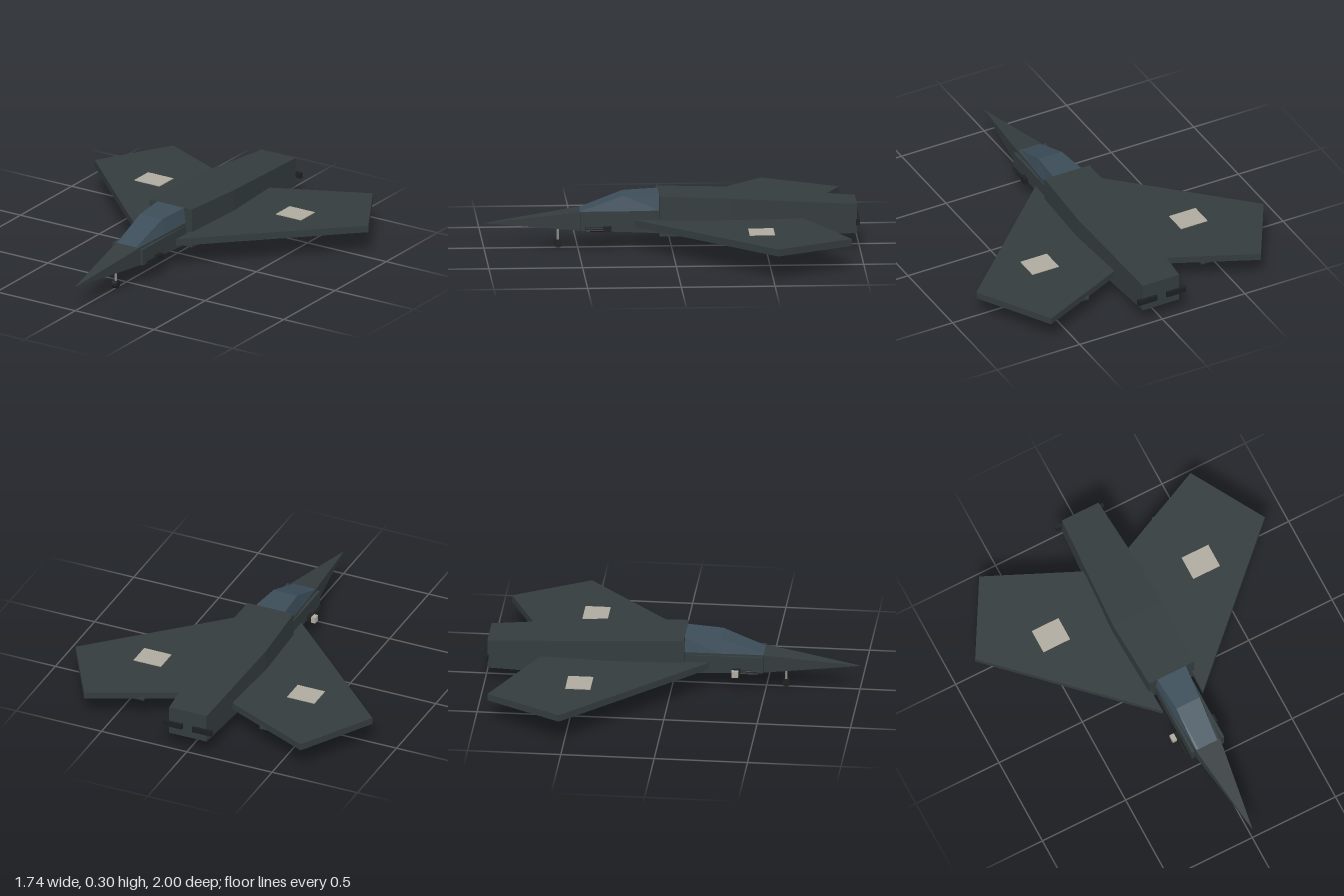
import * as THREE from 'three';

const mat = (color) => new THREE.MeshStandardMaterial({ color, flatShading: true });

// Loft through four-cornered sections: [z, bottomY, topY, bottomHalfWidth, topHalfWidth], front to back
function loft(sections) {
  const rings = sections.map(([z, y0, y1, w0, w1]) =>
    [[-w0, y0, z], [w0, y0, z], [w1, y1, z], [-w1, y1, z]]);
  const pos = [];
  const tri = (...pts) => pts.forEach((p) => pos.push(...p));
  for (let i = 0; i < rings.length - 1; i++) {
    const a = rings[i], b = rings[i + 1];
    for (let j = 0; j < 4; j++) {
      const k = (j + 1) % 4;
      tri(a[j], b[j], a[k]);
      tri(a[k], b[j], b[k]);
    }
  }
  const f = rings[0], r = rings[rings.length - 1];
  tri(f[0], f[1], f[2]); tri(f[0], f[2], f[3]);
  tri(r[0], r[2], r[1]); tri(r[0], r[3], r[2]);
  const g = new THREE.BufferGeometry();
  g.setAttribute('position', new THREE.Float32BufferAttribute(pos, 3));
  g.computeVertexNormals();
  return g;
}

export function createModel() {
  const model = new THREE.Group();
  model.name = 'jet';
  const hull = mat(0x343c3e), dark = mat(0x1d2022), glass = mat(0x3c4e5a);
  const pale = mat(0xb0aba0), metal = mat(0x8a8a88);

  const add = (name, geometry, material, x = 0, y = 0, z = 0) => {
    const m = new THREE.Mesh(geometry, material);
    m.name = name;
    m.position.set(x, y, z);
    model.add(m);
    return m;
  };
  // Box given by its limits on each axis
  const box = (name, material, x0, x1, y0, y1, z0, z1) =>
    add(name, new THREE.BoxGeometry(Math.abs(x1 - x0), y1 - y0, Math.abs(z1 - z0)), material,
      (x0 + x1) / 2, (y0 + y1) / 2, (z0 + z1) / 2);

  // Body
  add('nose', loft([[1, 0.135, 0.137, 0.001, 0.001], [0.49, 0.105, 0.205, 0.073, 0.073]]), hull);
  add('cockpitBody', loft([[0.49, 0.105, 0.205, 0.073, 0.073], [0.07, 0.092, 0.215, 0.095, 0.095]]), hull);
  add('canopy', loft([
    [0.49, 0.203, 0.206, 0.07, 0.055],
    [0.26, 0.21, 0.293, 0.085, 0.07],
    [0.07, 0.215, 0.3, 0.095, 0.085],
  ]), glass);
  add('fuselage', loft([
    [0.07, 0.083, 0.3, 0.135, 0.135],
    [-0.32, 0.075, 0.286, 0.15, 0.15],
    [-0.985, 0.083, 0.242, 0.11, 0.11],
  ]), hull);

  // Landing gear
  const wheel = new THREE.CylinderGeometry(0.022, 0.022, 0.03, 12).rotateZ(Math.PI / 2);
  const strut = new THREE.CylinderGeometry(0.007, 0.007, 0.07, 8);
  for (const [name, x, z, lift] of [['nose', 0, 0.605, 0.01], ['left', 0.2, -0.455, 0], ['right', -0.2, -0.455, 0]]) {
    add(name + 'Wheel', wheel, dark, x, 0.022, z);
    add(name + 'Strut', strut, metal, x, 0.055 + lift, z);
  }

  // Belly bay
  box('bayDoor', hull, -0.12, 0.12, 0.065, 0.082, -0.1, -0.33);
  box('bellyAntenna', dark, -0.012, 0.012, 0.084, 0.11, 0.29, 0.315);

  for (const [side, s] of [['left', 1], ['right', -1]]) {
    // Wing with inlaid panel and flap
    const outline = [[0.12, 0.2], [0.87, -0.525], [0.635, -0.93], [0.13, -0.7]];
    const shape = new THREE.Shape(outline.map(([x, z]) => new THREE.Vector2(s * x, -z)));
    const wing = new THREE.ExtrudeGeometry(shape, { depth: 0.038, bevelEnabled: false });
    wing.rotateX(-Math.PI / 2);
    add(side + 'Wing', wing, hull, 0, 0.132, 0);
    box(side + 'WingPanel', pale, s * 0.37, s * 0.53, 0.165, 0.174, -0.39, -0.525);
    box(side + 'Flap', hull, s * 0.34, s * 0.62, 0.125, 0.14, -0.72, -0.81);

    // Intake rail beside the cockpit
    box(side + 'Rail', hull, s * 0.08, s * 0.097, 0.11, 0.2, 0.07, 0.49);

    // Gun pod and barrels
    box(side + 'GunPod', dark, s * 0.07, s * 0.12, 0.103, 0.133, 0.325, 0.37);
    for (const y of [0.111, 0.125]) {
      const barrel = new THREE.CylinderGeometry(0.005, 0.005, 0.1, 8).rotateX(Math.PI / 2);
      add(side + 'Barrel', barrel, dark, s * 0.11, y, 0.415);
    }

    // Stores under the bay and exhaust bar
    box(side + 'Store', pale, s * 0.05, s * 0.075, 0.052, 0.066, -0.18, -0.27);
    box(side + 'Exhaust', dark, s * 0.03, s * 0.143, 0.13, 0.16, -0.98, -1);
  }
  // Sensor box on the right gun pod
  box('sensorBox', pale, -0.145, -0.12, 0.1, 0.133, 0.325, 0.362);
  return model;
}
